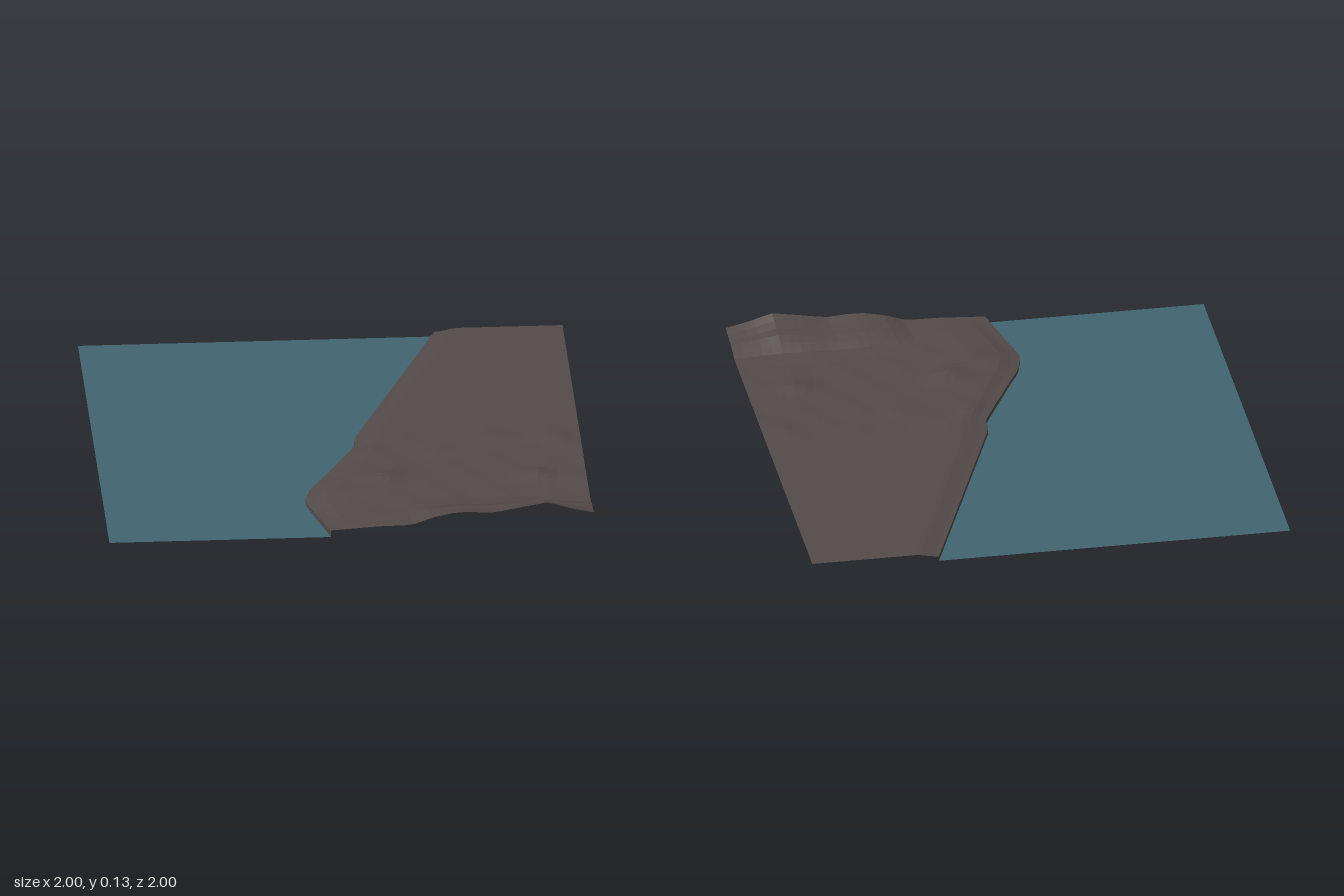
import * as THREE from 'three';

// Shoreline as [z, x], and the ridge profile along the front edge as [x, y]
const SHORE = [[-1, 0.47], [0.02, 0.085], [0.06, 0.07], [0.13, 0.07], [0.47, -0.1], [0.54, -0.14],
  [0.64, -0.167], [0.68, -0.167], [0.83, -0.13], [1, -0.085]];
const RIDGE = [[-0.17, 0.025], [-0.08, 0.03], [0, 0.035], [0.1, 0.042], [0.25, 0.045], [0.33, 0.075],
  [0.43, 0.096], [0.5, 0.096], [0.58, 0.09], [0.7, 0.112], [0.81, 0.131], [0.9, 0.102], [1, 0.08]];
// How much of the ridge remains at each z
const FALLOFF = [[-1, 0], [0.72, 0], [0.8, 0.12], [0.87, 0.58], [0.93, 0.68], [1, 1]];
// Small mounds: x, z, height, radius
const MOUNDS = [[0.16, 0.5, 0.021, 0.07], [0.8, 0.51, 0.019, 0.06], [0.05, 0.63, 0.008, 0.08],
  [0.42, 0.22, 0.006, 0.06], [0.9, 0.15, 0.006, 0.07], [0.6, 0.1, 0.004, 0.06], [0.1, 0.2, 0.007, 0.05]];

// Piecewise linear lookup
function lerpTable(table, v) {
  let i = 1;
  while (i < table.length - 1 && v > table[i][0]) i++;
  const [a, fa] = table[i - 1], [b, fb] = table[i];
  return fa + (fb - fa) * THREE.MathUtils.clamp((v - a) / (b - a), 0, 1);
}

const shoreX = (z) => lerpTable(SHORE, z);

// Ground height: low bank rising to a plain, mounds, fine roughness and the front ridge
function groundHeight(x, z) {
  const inland = THREE.MathUtils.smoothstep(x - shoreX(z), 0, 0.1);
  const bank = z > 0.3 ? 0.017 : 0.021;
  let y = bank + (0.036 - bank) * inland;
  for (const [mx, mz, h, r] of MOUNDS) {
    y += h * inland * Math.exp(-((x - mx) ** 2 + (z - mz) ** 2) / (r * r));
  }
  const rough = 0.0018 * THREE.MathUtils.smoothstep(z, -0.2, 0.3) * inland;
  y += rough * Math.sin(x * 23 + z * 9) * Math.sin(z * 27 - x * 7);
  return THREE.MathUtils.lerp(y, lerpTable(RIDGE, x), lerpTable(FALLOFF, z));
}

// A sheet whose vertices are placed by place(t, z), t running 0..1 across and z -1..1 along
function sheet(name, color, across, along, place) {
  const geometry = new THREE.PlaneGeometry(2, 2, across, along).rotateX(-Math.PI / 2);
  const pos = geometry.attributes.position;
  for (let i = 0; i < pos.count; i++) {
    pos.setXYZ(i, ...place((pos.getX(i) + 1) / 2, pos.getZ(i)));
  }
  geometry.computeVertexNormals();
  const material = new THREE.MeshStandardMaterial({ color, flatShading: true, side: THREE.DoubleSide });
  const mesh = new THREE.Mesh(geometry, material);
  mesh.name = name;
  return mesh;
}

export function createModel() {
  const model = new THREE.Group();
  model.name = 'coast';
  const waterColor = 0x426470, landColor = 0x534b49;

  // Flat water up to the shoreline
  model.add(sheet('water', waterColor, 1, 50, (t, z) => [THREE.MathUtils.lerp(-1, shoreX(z), t), 0, z]));

  // Open terrain sheet from the shoreline to the outer edge
  model.add(sheet('land', landColor, 28, 50, (t, z) => {
    const x = THREE.MathUtils.lerp(shoreX(z), 1, t);
    return [x, groundHeight(x, z), z];
  }));

  // Low upright bank joining water and land
  model.add(sheet('shoreBank', landColor, 1, 50, (t, z) => {
    const x = shoreX(z);
    return [x, t * groundHeight(x, z), z];
  }));

  return model;
}
